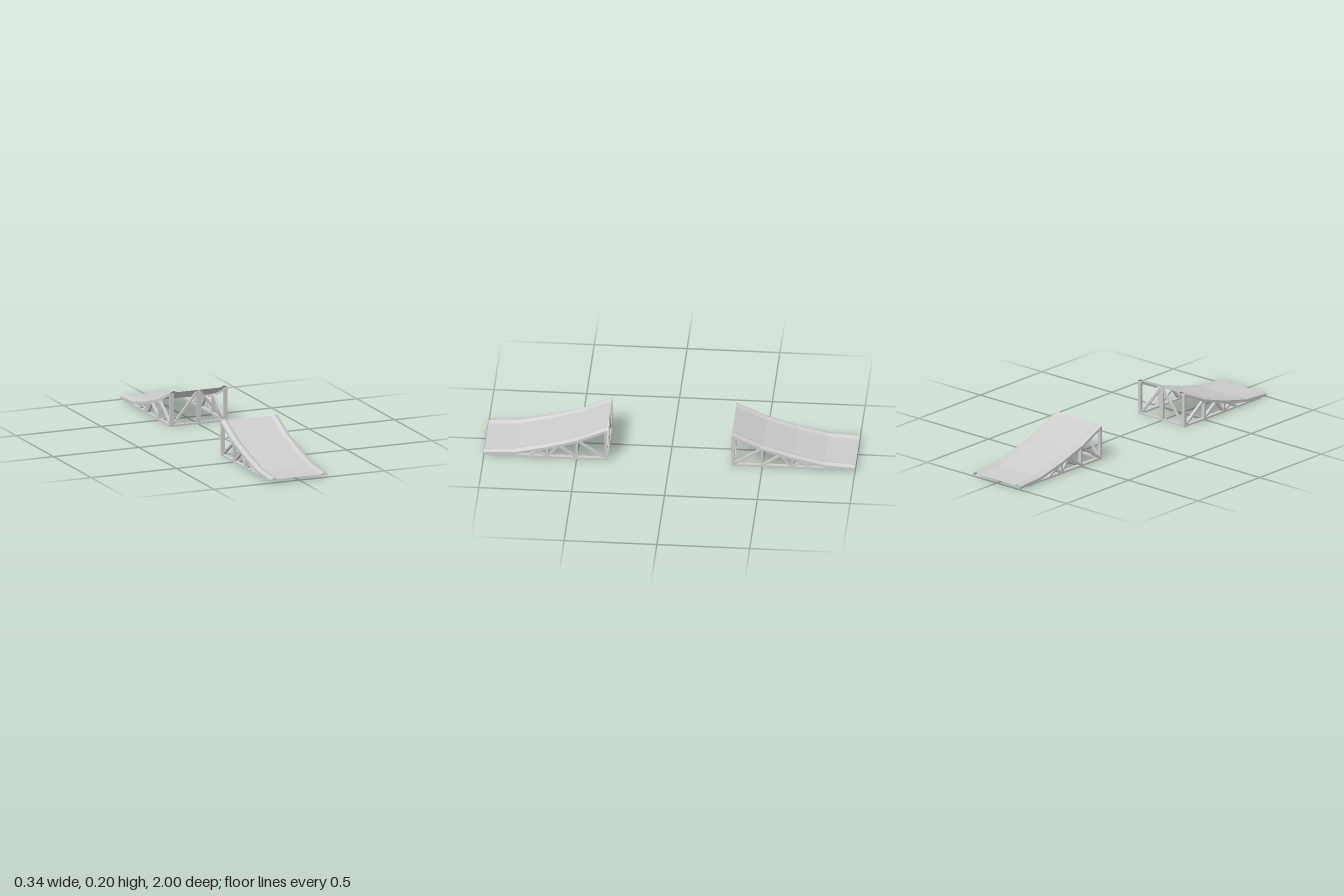
import * as THREE from 'three';

const material = new THREE.MeshStandardMaterial({
  color: 0xcccccc, flatShading: true, side: THREE.DoubleSide,
});

// Ridge line of the deck as [z, y], low end to tall end
const RIDGE = [[1, 0.028], [0.832, 0.038], [0.665, 0.076], [0.5, 0.126], [0.335, 0.2]];
// Half cross-section of the deck as [x, drop below ridge], ending in a hanging skirt
const HALF = [[0.126, -0.01], [0.147, 0], [0.168, -0.01], [0.168, -0.025]];
const SIDE_X = 0.1575;
const BAR_WIDTH = 0.021;

function ridgeY(z) {
  const i = RIDGE.findIndex(([rz]) => rz <= z);
  const [z0, y0] = RIDGE[i - 1], [z1, y1] = RIDGE[i];
  return y0 + (y1 - y0) * (z - z0) / (z1 - z0);
}

function add(parent, name, geometry) {
  const mesh = new THREE.Mesh(geometry, material);
  mesh.name = name;
  parent.add(mesh);
  return mesh;
}

// Straight square-ended bar between two points
function bar(parent, name, a, b, width, depth) {
  const from = new THREE.Vector3(...a), to = new THREE.Vector3(...b);
  const upright = a[0] === b[0] && a[2] === b[2];
  const up = upright ? new THREE.Vector3(0, 0, 1) : new THREE.Vector3(0, 1, 0);
  const mesh = add(parent, name, new THREE.BoxGeometry(width, depth, from.distanceTo(to)));
  mesh.position.copy(from).add(to).multiplyScalar(0.5);
  mesh.quaternion.setFromRotationMatrix(new THREE.Matrix4().lookAt(to, from, up));
}

// Curved sheet with a raised ridge and a skirt along each edge
function deckGeometry() {
  const section = [...HALF.map(([x, d]) => [-x, d]).reverse(), ...HALF];
  const n = section.length, positions = [], index = [];
  RIDGE.forEach(([z, y], i) => {
    section.forEach(([x, d], j) => {
      positions.push(x, y + d, z);
      if (i && j) {
        const c = i * n + j, p = c - n;
        index.push(p - 1, p, c, p - 1, c, c - 1);
      }
    });
  });
  const g = new THREE.BufferGeometry();
  g.setAttribute('position', new THREE.Float32BufferAttribute(positions, 3));
  g.setIndex(index);
  g.computeVertexNormals();
  return g;
}

function createRamp(name) {
  const ramp = new THREE.Group();
  ramp.name = name;
  add(ramp, 'deck', deckGeometry());

  const under = (z) => ridgeY(z) - 0.014;
  const low = 0.007;
  const endZ = 0.342;
  for (const s of [-1, 1]) {
    const side = new THREE.Group();
    side.name = s > 0 ? 'leftTruss' : 'rightTruss';
    side.position.x = s * SIDE_X;
    ramp.add(side);
    bar(side, 'baseBar', [0, 0.006, 0.335], [0, 0.006, 0.95], BAR_WIDTH, 0.01);
    bar(side, 'cornerPost', [0, 0, endZ], [0, under(endZ), endZ], BAR_WIDTH, 0.014);
    for (const z of [0.5, 0.66]) bar(side, 'post', [0, low, z], [0, under(z), z], BAR_WIDTH, 0.012);
    // Diagonals as [z at the base, z at the rail]
    for (const [z0, z1] of [[0.345, 0.495], [0.5, 0.6], [0.655, 0.6], [0.665, 0.72], [0.76, 0.67]]) {
      bar(side, 'diagonal', [0, low, z0], [0, under(z1) - 0.005, z1], 0.016, 0.011);
    }
    // Brace across the tall end
    bar(ramp, 'endBrace', [s * 0.152, low, endZ], [s * 0.012, 0.175, endZ], 0.01, 0.012);
  }

  // Frame of the tall end
  bar(ramp, 'endBaseBar', [-SIDE_X, 0.006, endZ], [SIDE_X, 0.006, endZ], 0.014, 0.01);
  bar(ramp, 'centrePost', [0, 0.002, endZ], [0, 0.182, endZ], 0.024, 0.012);
  return ramp;
}

export function createModel() {
  const model = new THREE.Group();
  model.name = 'rampPair';
  const front = createRamp('frontRamp');
  const back = createRamp('backRamp');
  back.rotation.y = Math.PI;
  model.add(front, back);
  return model;
}
